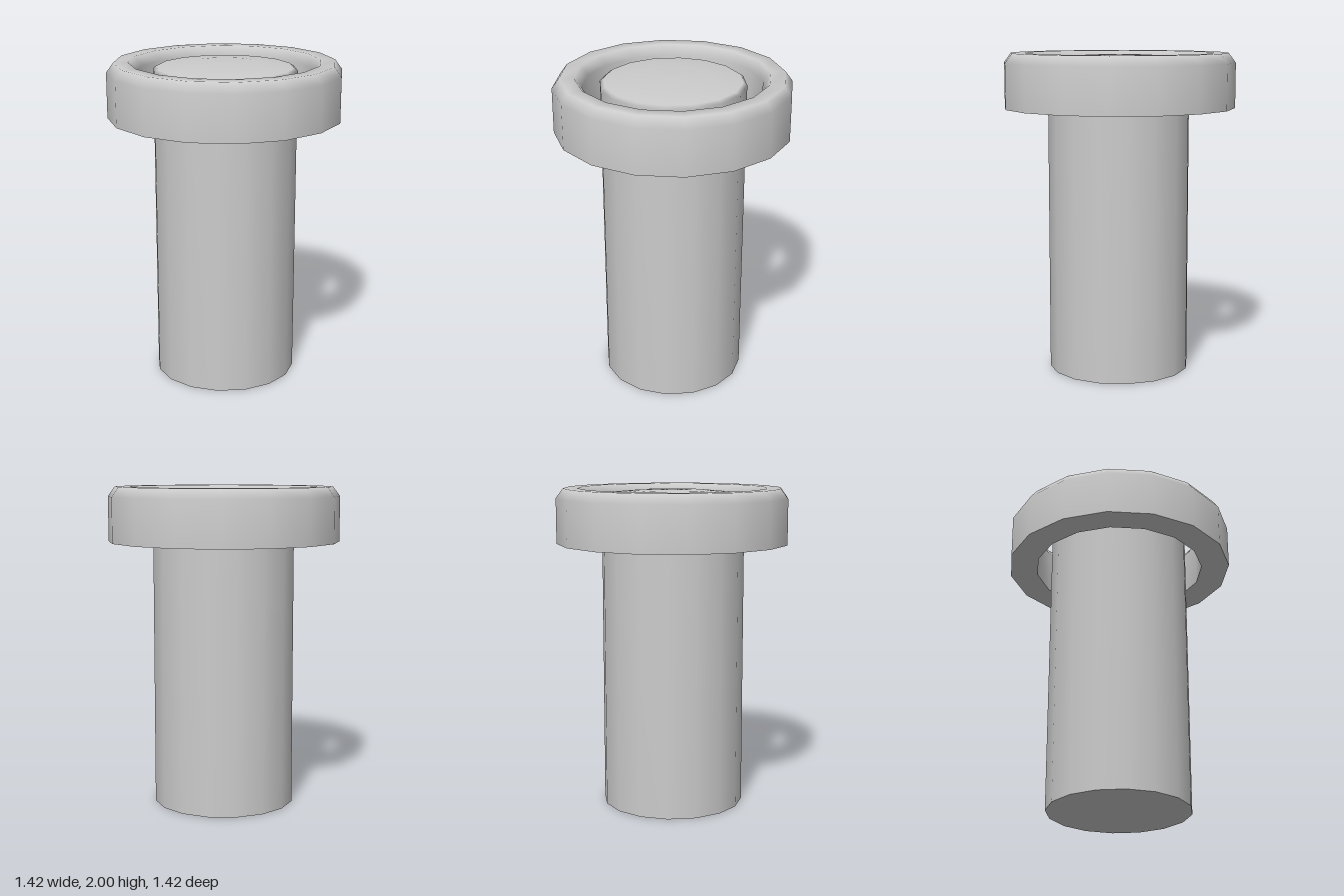
import * as THREE from 'three';

const SIDES = 16;
const material = new THREE.MeshStandardMaterial({ color: 0xcccccc });

// Revolve a profile of [radius, height] points around the y axis
function revolve(name, profile, turn = 0) {
  const points = profile.map(([r, y]) => new THREE.Vector2(r, y));
  const mesh = new THREE.Mesh(new THREE.LatheGeometry(points, SIDES, turn), material);
  mesh.name = name;
  return mesh;
}

export function createModel() {
  const model = new THREE.Group();
  model.name = 'post with collar';

  // Central post: straight wall with a shallow domed top and a flat base
  const post = new THREE.Group();
  post.name = 'post';
  post.add(
    revolve('postBody', [[0.444, 0], [0.444, 1.95], [0.42, 1.967], [0.22, 1.985], [0, 1.99]]),
    revolve('postBase', [[0, 0], [0.444, 0]]),
  );

  // Free-standing collar around the top, bevelled above and flat below
  const collar = new THREE.Group();
  collar.name = 'collar';
  const halfStep = Math.PI / SIDES;
  collar.add(
    revolve('collarBody', [
      [0.724, 1.66], [0.724, 1.94], [0.68, 2], [0.59, 2], [0.545, 1.94], [0.545, 1.66],
    ], halfStep),
    revolve('collarUnderside', [[0.545, 1.66], [0.724, 1.66]], halfStep),
  );

  model.add(post, collar);
  return model;
}
